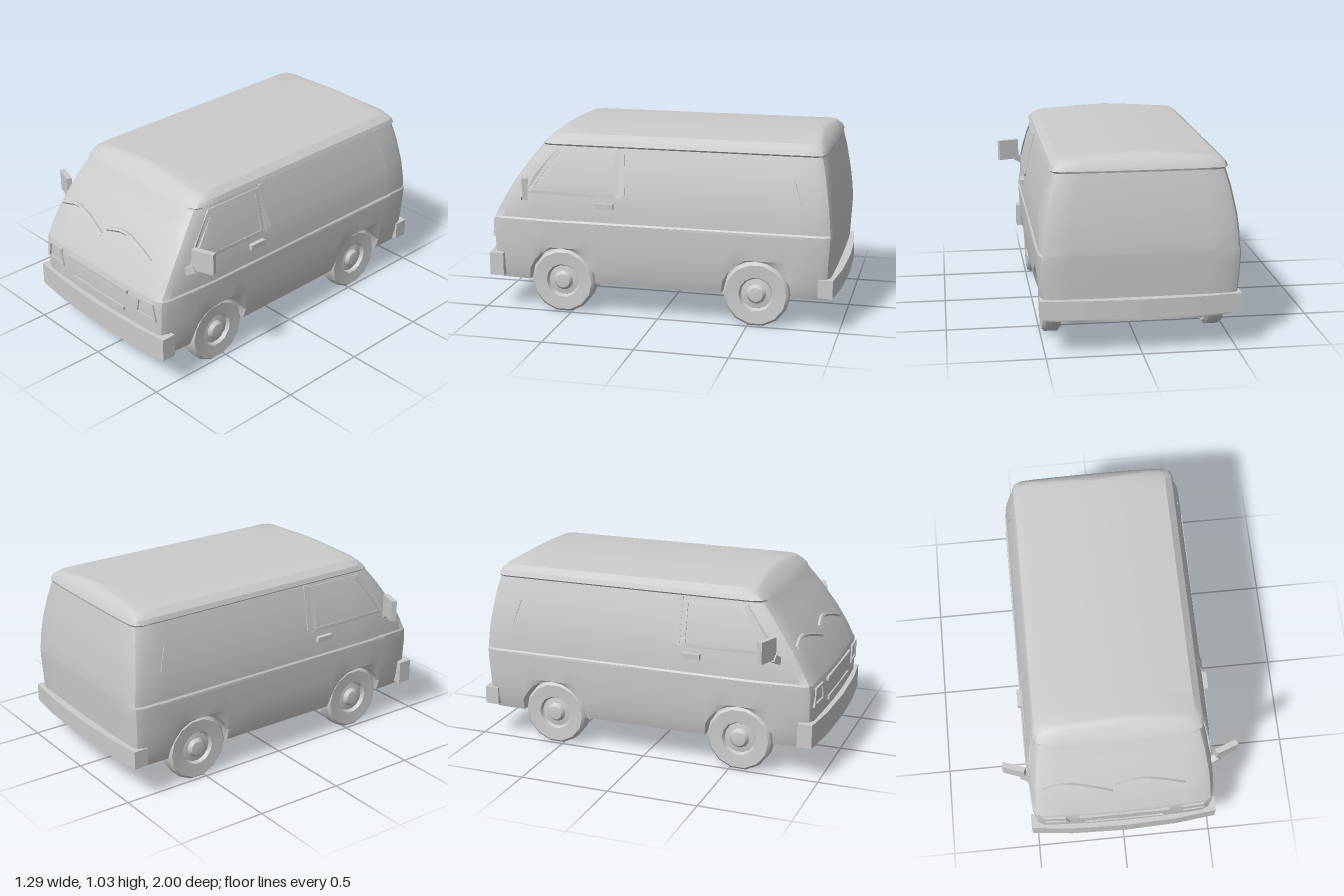
import * as THREE from 'three';
import { toCreasedNormals } from 'three/addons/utils/BufferGeometryUtils.js';

const material = new THREE.MeshStandardMaterial({ color: 0xcccccc, side: THREE.DoubleSide });
const flat = new THREE.MeshStandardMaterial({ color: 0xcccccc, side: THREE.DoubleSide, flatShading: true });

const WHEEL_Z = [0.55, -0.545], WHEEL_Y = 0.185, ARCH_R = 0.192;

// Body rings from the floor centre outwards, up the sides and over the roof:
// height, half width, front z, back z, follows the wheel arches
const RINGS = [
  [0.17, 0, 0.95, -0.94, 0], [0.17, 0.36, 0.95, -0.94, 0], [0.17, 0.36, 0.95, -0.94, 1],
  [0.18, 0.49, 0.95, -0.94, 1], [0.25, 0.512, 0.95, -0.945, 1], [0.38, 0.522, 0.95, -0.95, 1],
  [0.47, 0.526, 0.952, -0.955, 0], [0.53, 0.527, 0.945, -0.957, 0], [0.54, 0.52, 0.94, -0.957, 0],
  [0.61, 0.517, 0.905, -0.952, 0], [0.71, 0.505, 0.845, -0.94, 0], [0.85, 0.475, 0.745, -0.918, 0],
  [0.945, 0.447, 0.668, -0.897, 0], [0.955, 0.46, 0.662, -0.9, 0], [0.98, 0.45, 0.635, -0.89, 0],
  [1.01, 0.41, 0.605, -0.865, 0], [1.027, 0.22, 0.58, -0.84, 0], [1.037, 0, 0.56, -0.82, 0],
];

function mesh(name, geometry, mat = material) {
  const m = new THREE.Mesh(geometry, mat);
  m.name = name;
  return m;
}

function box(name, size, pos, rot = [0, 0, 0]) {
  const m = mesh(name, new THREE.BoxGeometry(...size));
  m.position.set(...pos);
  m.rotation.set(...rot);
  return m;
}

// Interpolate a ring column (1 half width, 2 front z, 3 back z) at a height
function ringAt(y, col) {
  const i = Math.max(4, RINGS.findIndex(r => r[0] >= y));
  const a = RINGS[i - 1], b = RINGS[i];
  return THREE.MathUtils.lerp(a[col], b[col], (y - a[0]) / (b[0] - a[0]));
}

const taper = z => 1 - 0.045 * THREE.MathUtils.smoothstep(z, 0.55, 1);

function archHeight(z) {
  let h = 0;
  for (const c of WHEEL_Z) {
    const d = ARCH_R ** 2 - (z - c) ** 2;
    if (d > 0) h = Math.max(h, WHEEL_Y + Math.sqrt(d));
  }
  return h;
}

function bodyGeometry() {
  // Stations along the side, closely spaced over each wheel arch
  const stations = [0.18, 0, -0.18];
  for (const c of WHEEL_Z) {
    for (let k = 0; k <= 10; k++) stations.push(c + ARCH_R * 1.001 * Math.cos(k * Math.PI / 10));
  }
  stations.sort((a, b) => b - a);

  const halfRing = ([y, w, zf, zb, arch]) => {
    const r = Math.min(0.05, w), pts = [];
    const bow = x => 0.02 * (1 - (x / (w || 1)) ** 2);
    for (const f of [0, 0.35, 0.7]) pts.push([f * w, y, zf + bow(f * w)]);
    for (const a of [90, 45, 0]) {
      const t = a * Math.PI / 180;
      pts.push([w - r + r * Math.cos(t), y, zf - 0.05 + 0.05 * Math.sin(t) + bow(w - r) * Math.sin(t)]);
    }
    for (const s of stations) {
      const z = zb + (s + 0.94) / 1.89 * (zf - zb);
      pts.push([w, arch ? Math.max(y, archHeight(z)) : y, z]);
    }
    for (const a of [0, 45, 90]) {
      const t = a * Math.PI / 180;
      pts.push([w - r + r * Math.cos(t), y, zb + 0.05 - 0.05 * Math.sin(t)]);
    }
    for (const f of [0.7, 0.35, 0]) pts.push([f * w, y, zb - bow(f * w) * 0.4]);
    return pts.map(p => [p[0] * taper(p[2]), p[1], p[2]]);
  };

  const pos = [], index = [];
  let n = 0;
  for (const ring of RINGS) {
    const half = halfRing(ring);
    const loop = half.concat(half.slice(1, -1).reverse().map(p => [-p[0], p[1], p[2]]));
    n = loop.length;
    pos.push(...loop.flat());
  }
  for (let j = 0; j < RINGS.length - 1; j++) {
    for (let i = 0; i < n; i++) {
      const a = j * n + i, b = j * n + (i + 1) % n;
      index.push(a, b, b + n, a, b + n, a + n);
    }
  }
  const g = new THREE.BufferGeometry();
  g.setAttribute('position', new THREE.Float32BufferAttribute(pos, 3));
  g.setIndex(index);
  return toCreasedNormals(g, 0.5);
}

// Thin trim that follows the side of the body; outline and hole are [z, y] points
function sideTrim(name, outline, hole, side, out = 0.006) {
  const vec = list => list.map(p => new THREE.Vector2(...p));
  const shape = new THREE.Shape(vec(outline));
  if (hole) shape.holes.push(new THREE.Path(vec(hole)));
  const g = new THREE.ExtrudeGeometry(shape, { depth: 0.02, bevelEnabled: false });
  const p = g.attributes.position;
  for (let i = 0; i < p.count; i++) {
    const z = p.getX(i), y = p.getY(i), lift = p.getZ(i) > 0.01 ? out : -0.014;
    p.setXYZ(i, side * (ringAt(y, 1) * taper(z) + lift), y, z);
  }
  return mesh(name, g, flat);
}

function bumper(name, s, height) {
  const plan = [[-0.525, 0.885], [-0.525, 0.965], [-0.3, 0.99], [0, 1], [0.3, 0.99], [0.525, 0.965], [0.525, 0.885]];
  const g = new THREE.ExtrudeGeometry(new THREE.Shape(plan.map(([x, z]) => new THREE.Vector2(x, -s * z))),
    { depth: height, bevelEnabled: false });
  g.rotateX(-Math.PI / 2).translate(0, 0.2, 0);
  return mesh(name, g, flat);
}

function wheel(side, z) {
  const profile = [[0, -0.04], [0.1, -0.05], [0.165, -0.05], [0.182, -0.035], [0.182, 0.035], [0.168, 0.05],
    [0.095, 0.045], [0.085, 0.025], [0.055, 0.03], [0.04, 0.05], [0, 0.055]];
  const g = new THREE.LatheGeometry(profile.map(p => new THREE.Vector2(...p)), 14);
  g.rotateZ(-Math.PI / 2);
  const m = mesh('wheel', toCreasedNormals(g, 0.6));
  m.position.set(side * 0.44, 0.182, z);
  if (side < 0) m.rotation.y = Math.PI;
  return m;
}

// Uneven floor pan with pipes, axles and tanks
function undercarriage() {
  const group = new THREE.Group();
  group.name = 'undercarriage';
  let seed = 7;
  const rand = () => (seed = (seed * 16807) % 2147483647) / 2147483647;
  const g = new THREE.PlaneGeometry(0.7, 1.5, 8, 18).rotateX(Math.PI / 2);
  const p = g.attributes.position;
  for (let i = 0; i < p.count; i++) {
    p.setXYZ(i, p.getX(i) + (rand() - 0.5) * 0.04, 0.135 + rand() * 0.04, p.getZ(i) + (rand() - 0.5) * 0.04);
  }
  group.add(mesh('floorPan', g, flat));
  for (const z of WHEEL_Z) {
    const axle = mesh('axle', new THREE.CylinderGeometry(0.022, 0.022, 0.8, 6).rotateZ(Math.PI / 2), flat);
    axle.position.set(0, 0.165, z);
    group.add(axle);
  }
  const shaft = mesh('driveShaft', new THREE.CylinderGeometry(0.02, 0.02, 1.1, 6).rotateX(Math.PI / 2), flat);
  shaft.position.set(0, 0.145, 0);
  const casing = mesh('axleCasing', new THREE.IcosahedronGeometry(0.05, 0), flat);
  casing.position.set(0, 0.155, WHEEL_Z[1]);
  group.add(shaft, casing, box('fuelTank', [0.2, 0.05, 0.3], [0.2, 0.15, -0.1]),
    box('gearbox', [0.16, 0.06, 0.3], [0, 0.145, 0.4]));
  return group;
}

export function createModel() {
  const van = new THREE.Group();
  van.name = 'van';
  van.add(mesh('body', bodyGeometry()), undercarriage(),
    bumper('frontBumper', 1, 0.13), bumper('rearBumper', -1, 0.1));

  for (const s of [1, -1]) {
    for (const z of WHEEL_Z) van.add(wheel(s, z));

    // Door window frame, pillar and waist moulding
    van.add(sideTrim('doorWindowFrame',
      [[0.22, 0.68], [0.75, 0.68], [0.7, 0.78], [0.58, 0.93], [0.22, 0.93]],
      [[0.25, 0.7], [0.71, 0.7], [0.67, 0.77], [0.56, 0.91], [0.25, 0.91]], s));
    van.add(sideTrim('doorPillar', [[0.18, 0.7], [0.22, 0.68], [0.22, 0.94], [0.19, 0.94]], null, s, 0.008));
    van.add(sideTrim('waistMoulding', [[-0.8, 0.52], [0.75, 0.52], [0.75, 0.532], [-0.8, 0.532]], null, s, 0.005));
    van.add(sideTrim('rearVent', [[-0.735, 0.83], [-0.775, 0.7], [-0.785, 0.7], [-0.745, 0.83]], null, s, 0.005));
    van.add(box('doorHandle', [0.025, 0.03, 0.1], [s * 0.525, 0.635, 0.29]));

    // Door mirror and its arm
    van.add(box('mirror', [0.125, 0.12, 0.03], [s * 0.58, 0.735, 0.725], [0, s * 0.35, 0]),
      box('mirrorArm', [0.06, 0.04, 0.035], [s * 0.515, 0.67, 0.755], [0, s * 0.35, s * 0.5]));

    // Headlamp: rim around a recessed lens
    const rim = new THREE.Shape([[-0.08, -0.05], [0.08, -0.05], [0.06, 0.05], [-0.06, 0.05]].map(p => new THREE.Vector2(...p)));
    rim.holes.push(new THREE.Path([[-0.06, -0.037], [0.06, -0.037], [0.045, 0.037], [-0.045, 0.037]].map(p => new THREE.Vector2(...p))));
    const lamp = mesh('headlampRim', new THREE.ExtrudeGeometry(rim, { depth: 0.03, bevelEnabled: false }), flat);
    lamp.position.set(s * 0.385, 0.46, 0.937);
    lamp.rotation.y = s * 0.06;
    van.add(lamp);
  }

  // Grille bars across the nose
  for (const [y, w] of [[0.385, 0.44], [0.5, 0.5]]) van.add(box('grilleBar', [w, 0.02, 0.03], [0, y, 0.962]));

  // Wipers resting low on the windscreen
  for (const x of [-0.25, 0.15]) {
    const path = new THREE.CatmullRomCurve3([[-0.19, 0.72], [-0.07, 0.745], [0.06, 0.725], [0.19, 0.685]].map(
      ([dx, y]) => new THREE.Vector3(x + dx, y, ringAt(y, 2) + 0.024 - 0.07 * (x + dx) ** 2)));
    van.add(mesh('wiper', new THREE.TubeGeometry(path, 8, 0.012, 5), flat));
  }
  return van;
}
